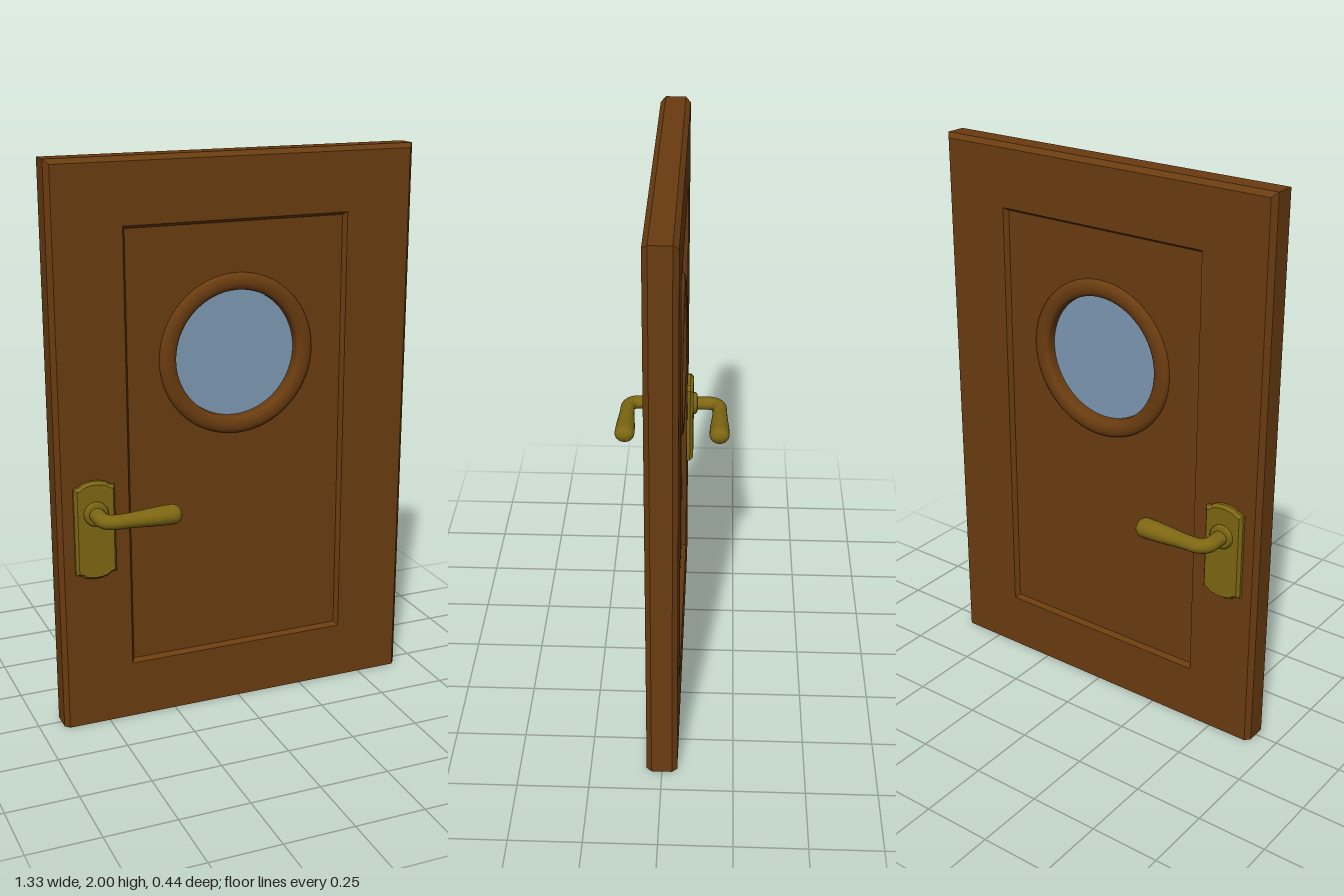
import * as THREE from 'three';

const mat = (name, color, side = THREE.FrontSide) => {
  const m = new THREE.MeshStandardMaterial({ color, side });
  m.name = name;
  return m;
};

function add(parent, name, geometry, material) {
  const mesh = new THREE.Mesh(geometry, material);
  mesh.name = name;
  parent.add(mesh);
  return mesh;
}

// Flat-faced band through rectangular loops, each [half width, bottom, top, z]
function rectLoft(loops) {
  const pos = [];
  const corners = ([w, b, t, z]) => [[-w, b, z], [w, b, z], [w, t, z], [-w, t, z]];
  for (let i = 0; i < loops.length - 1; i++) {
    const p = corners(loops[i]), q = corners(loops[i + 1]);
    for (let j = 0; j < 4; j++) {
      const k = (j + 1) % 4;
      pos.push(...p[j], ...p[k], ...q[k], ...p[j], ...q[k], ...q[j]);
    }
  }
  const g = new THREE.BufferGeometry();
  g.setAttribute('position', new THREE.Float32BufferAttribute(pos, 3));
  g.computeVertexNormals();
  return g;
}

// Lathe whose axis is z instead of y
const latheZ = (points, segments) =>
  new THREE.LatheGeometry(points.map(([r, z]) => new THREE.Vector2(r, z)), segments).rotateX(Math.PI / 2);

// Tube along a path with its own radius at each step and closed ends
function taperedTube(path, radiusAt, steps, sides) {
  const g = new THREE.TubeGeometry(path, steps, 1, sides, false);
  const p = g.attributes.position, v = new THREE.Vector3();
  for (let i = 0; i <= steps; i++) {
    const c = path.getPointAt(i / steps);
    for (let j = 0; j <= sides; j++) {
      const n = i * (sides + 1) + j;
      v.fromBufferAttribute(p, n).sub(c).multiplyScalar(radiusAt(i / steps)).add(c);
      p.setXYZ(n, v.x, v.y, v.z);
    }
  }
  g.computeVertexNormals();
  return g;
}

// Backplate outline with stepped, arched ends, centred on the origin
function plateShape() {
  const s = new THREE.Shape();
  const w = 0.064, y = 0.15;
  s.moveTo(-w, -y);
  s.quadraticCurveTo(-0.046, -y - 0.002, -0.04, -y - 0.012);
  s.quadraticCurveTo(0, -y - 0.026, 0.04, -y - 0.012);
  s.quadraticCurveTo(0.046, -y - 0.002, w, -y);
  s.lineTo(w, y);
  s.quadraticCurveTo(0.046, y + 0.002, 0.04, y + 0.012);
  s.quadraticCurveTo(0, y + 0.026, -0.04, y + 0.012);
  s.quadraticCurveTo(-0.046, y + 0.002, -w, y);
  s.closePath();
  return s;
}

export function createModel() {
  const wood = mat('wood brown', 0x6a3c10);
  const brass = mat('aged brass', 0x7d6612);
  const glass = mat('window glass', 0x7c98b2);
  const door = new THREE.Group();
  door.name = 'door';

  const HW = 0.665, EDGE = 0.036, FACE = 0.054, PANEL = 0.036, WY = 1.305;

  // Outer rim joining the two faces
  add(door, 'doorEdge', rectLoft([[HW, 0, 2, -EDGE], [HW, 0, 2, EDGE]]), wood);

  for (const side of [1, -1]) {
    const half = new THREE.Group();
    half.name = side > 0 ? 'frontSide' : 'backSide';
    half.scale.z = side;
    door.add(half);

    // Chamfered frame stepping down to the recessed panel
    add(half, 'frame', rectLoft([
      [HW, 0, 2, EDGE],
      [HW - 0.016, 0, 1.984, FACE],
      [0.41, 0.208, 1.775, FACE],
      [0.399, 0.219, 1.764, PANEL],
    ]), wood);

    // Bottom end cap under the chamfer
    const cap = new THREE.Shape([[-HW, 0], [HW, 0], [HW, EDGE], [HW - 0.016, FACE], [-HW + 0.016, FACE], [-HW, EDGE]]
      .map(([x, z]) => new THREE.Vector2(x, z)));
    add(half, 'bottomCap', new THREE.ShapeGeometry(cap).rotateX(Math.PI / 2), wood);

    // Panel with a round opening
    const panel = new THREE.Shape([[-0.399, 0.219], [0.399, 0.219], [0.399, 1.764], [-0.399, 1.764]]
      .map(([x, y]) => new THREE.Vector2(x, y)));
    panel.holes.push(new THREE.Path().absarc(0, WY, 0.27, 0, Math.PI * 2, true));
    add(half, 'panel', new THREE.ShapeGeometry(panel, 48).translate(0, 0, PANEL), wood);

    // Rounded window moulding
    const profile = [[0.285, 0.034]];
    for (let i = 0; i <= 10; i++) {
      const a = (i / 10) * Math.PI;
      profile.push([0.255 + 0.03 * Math.cos(a), 0.038 + 0.018 * Math.sin(a)]);
    }
    profile.push([0.225, 0]);
    const ring = add(half, 'windowRing', latheZ(profile, 64), wood);
    ring.material = wood2(wood);
    ring.position.y = WY;

    // Glass pane
    add(half, 'windowGlass', new THREE.CircleGeometry(0.227, 64), glass).position.set(0, WY, 0.012);

    // Handle set
    const handle = new THREE.Group();
    handle.name = 'handle';
    handle.position.set(-0.537, 0, 0);
    half.add(handle);

    const plate = new THREE.ExtrudeGeometry(plateShape(), {
      depth: 0.012, bevelEnabled: true, bevelThickness: 0.012, bevelSize: 0.009, bevelSegments: 1, curveSegments: 8,
    });
    add(handle, 'backplate', plate, brass).position.set(0, 0.74, 0.053);

    const collar = latheZ([[0, 0.092], [0.034, 0.092], [0.043, 0.086], [0.043, 0.07]].reverse(), 32);
    add(handle, 'collar', collar, brass).position.y = 0.805;

    // Lever: neck, bend and swelling grip
    const path = new THREE.CurvePath();
    const P = (x, z) => new THREE.Vector3(x, 0, z);
    path.add(new THREE.LineCurve3(P(0, 0.075), P(0, 0.135)));
    path.add(new THREE.CubicBezierCurve3(P(0, 0.135), P(0, 0.165), P(0.02, 0.181), P(0.05, 0.181)));
    path.add(new THREE.LineCurve3(P(0.05, 0.181), P(0.272, 0.181)));
    const length = path.getLength();
    const radiusAt = (t) => {
      const d = t * length, left = length - d;
      const r = 0.028 + 0.01 * THREE.MathUtils.smoothstep(d, 0.14, length - 0.04);
      const e = Math.max(0, 1 - left / 0.03);
      return Math.max(r * Math.sqrt(1 - e * e), 0.0005);
    };
    const lever = add(handle, 'lever', taperedTube(path, radiusAt, 96, 20), brass);
    lever.position.y = 0.805;
    lever.scale.y = 0.9;
  }
  return door;
}

// Shared wood material, shown from both sides for the open moulding
function wood2(wood) {
  wood.side = THREE.DoubleSide;
  return wood;
}
